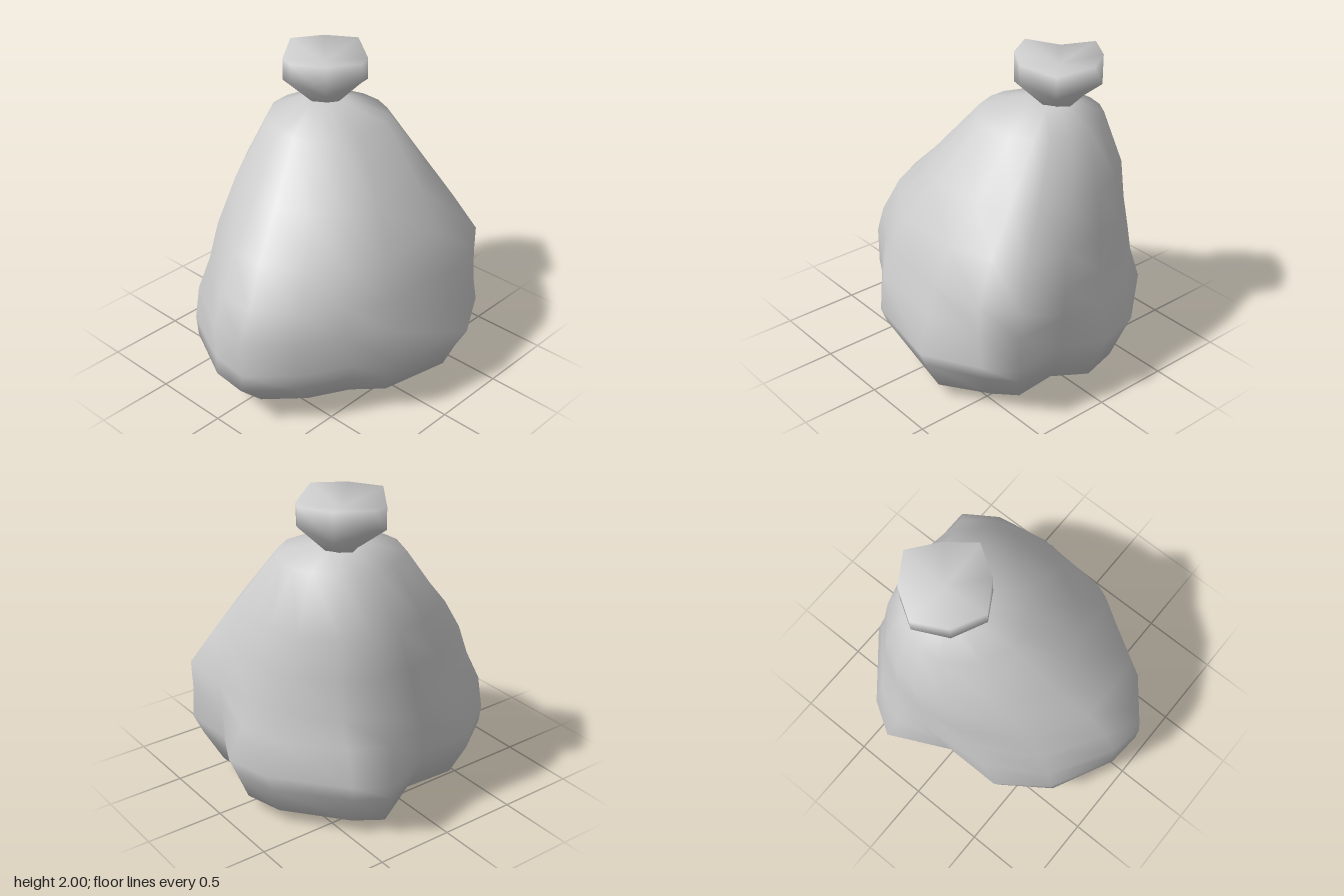
import * as THREE from 'three';

// Skin a stack of equal-length rings of [x, y, z] and close both ends.
// topDip sinks the middle of the top cap.
function loft(name, rings, material, topDip = 0) {
  const n = rings[0].length;
  const pos = rings.flat(2);
  const index = [];
  for (let r = 0; r < rings.length - 1; r++) {
    for (let i = 0; i < n; i++) {
      const a = r * n + i, b = r * n + (i + 1) % n;
      index.push(a, b, a + n, b, b + n, a + n);
    }
  }
  // End caps fan out from the centre of the ring
  const cap = (r, top) => {
    const c = [0, 1, 2].map(k => rings[r].reduce((s, p) => s + p[k], 0) / n);
    if (top) c[1] -= topDip;
    const centre = pos.length / 3;
    pos.push(...c);
    for (let i = 0; i < n; i++) {
      const a = r * n + i, b = r * n + (i + 1) % n;
      if (top) index.push(centre, a, b);
      else index.push(centre, b, a);
    }
  };
  cap(0, false);
  cap(rings.length - 1, true);
  const g = new THREE.BufferGeometry();
  g.setAttribute('position', new THREE.Float32BufferAttribute(pos, 3));
  g.setIndex(index);
  g.computeVertexNormals();
  const mesh = new THREE.Mesh(g, material);
  mesh.name = name;
  return mesh;
}

// Fit a flat outline of [x, z] into a box at height y.
function fitRing(points, y, x0, x1, z0, z1) {
  const xs = points.map(p => p[0]), zs = points.map(p => p[1]);
  const map = THREE.MathUtils.mapLinear;
  const ax = Math.min(...xs), bx = Math.max(...xs);
  const az = Math.min(...zs), bz = Math.max(...zs);
  return points.map(([x, z]) => [map(x, ax, bx, x0, x1), y, map(z, az, bz, z0, z1)]);
}

export function createModel() {
  const group = new THREE.Group();
  const material = new THREE.MeshStandardMaterial({ color: 0xcccccc });

  // Outline near the floor, with a bulge at the back corner
  const lower = [
    [0.88, -0.34], [0.69, -0.68], [0.54, -0.85], [0.2, -0.83],
    [-0.06, -0.95], [-0.36, -0.87], [-0.76, -0.54], [-0.89, -0.33],
    [-0.7, 0.05], [-0.7, 0.43], [-0.48, 0.73], [-0.06, 0.93],
    [0.19, 0.95], [0.44, 0.71], [0.6, 0.42], [0.78, 0.21],
  ];
  // Outline at mid height, full at the back and without the bulge
  const middle = [
    [0.74, -0.3], [0.68, -0.64], [0.54, -0.85], [0.2, -0.85],
    [-0.1, -0.83], [-0.38, -0.75], [-0.64, -0.53], [-0.75, -0.3],
    [-0.75, -0.06], [-0.68, 0.2], [-0.45, 0.61], [-0.08, 0.84],
    [0.17, 0.85], [0.42, 0.68], [0.57, 0.43], [0.7, 0.2],
  ];
  const round = middle.map(([x, z]) => [x / Math.hypot(x, z), z / Math.hypot(x, z)]);
  const outlines = [round, middle, lower];

  // Levels: y, x range, z range, shape (0 = round, 1 = middle, 2 = lower)
  const levels = [
    [0, -0.36, 0.26, -0.5, 0.35, 1.7],
    [0.09, -0.77, 0.73, -0.82, 0.76, 2.3],
    [0.28, -0.84, 0.82, -0.9, 0.95, 2],
    [0.4, -0.89, 0.88, -0.95, 0.95, 2],
    [0.62, -0.81, 0.79, -0.87, 0.94, 1.4],
    [0.8, -0.755, 0.73, -0.85, 0.85, 1],
    [1.03, -0.73, 0.63, -0.79, 0.71, 0.65],
    [1.28, -0.71, 0.46, -0.71, 0.48, 0.35],
    [1.62, -0.57, 0.19, -0.57, 0.2, 0],
    [1.7, -0.36, -0.09, -0.35, -0.08, 0],
  ];
  const bagRings = levels.map(([y, x0, x1, z0, z1, shape]) => {
    const k = Math.min(Math.floor(shape), 1);
    const blended = outlines[k].map((p, i) =>
      p.map((v, j) => THREE.MathUtils.lerp(v, outlines[k + 1][i][j], shape - k)));
    return fitRing(blended, y, x0, x1, z0, z1);
  });
  group.add(loft('bag', bagRings, material));

  // Tied top: eight sides flaring from the neck, sagging at the diagonals,
  // with two opposite rim corners dipping. Levels: y, radius, sag, dip
  const knotLevels = [
    [1.69, 0.11, 0, 0], [1.88, 0.305, 0.07, 0], [2, 0.305, 0, 0.05],
  ];
  const knotRings = knotLevels.map(([y, radius, sag, dip]) =>
    Array.from({ length: 8 }, (_, i) => {
      const a = i * Math.PI / 4;
      const r = radius * (i % 2 ? 0.87 : 1);
      const drop = (i % 2 ? sag : 0) + (i % 4 === 1 ? dip : 0);
      return [-0.265 + r * Math.cos(a), y - drop, -0.25 - r * Math.sin(a)];
    }));
  group.add(loft('tiedTop', knotRings, material, 0.06));

  return group;
}
